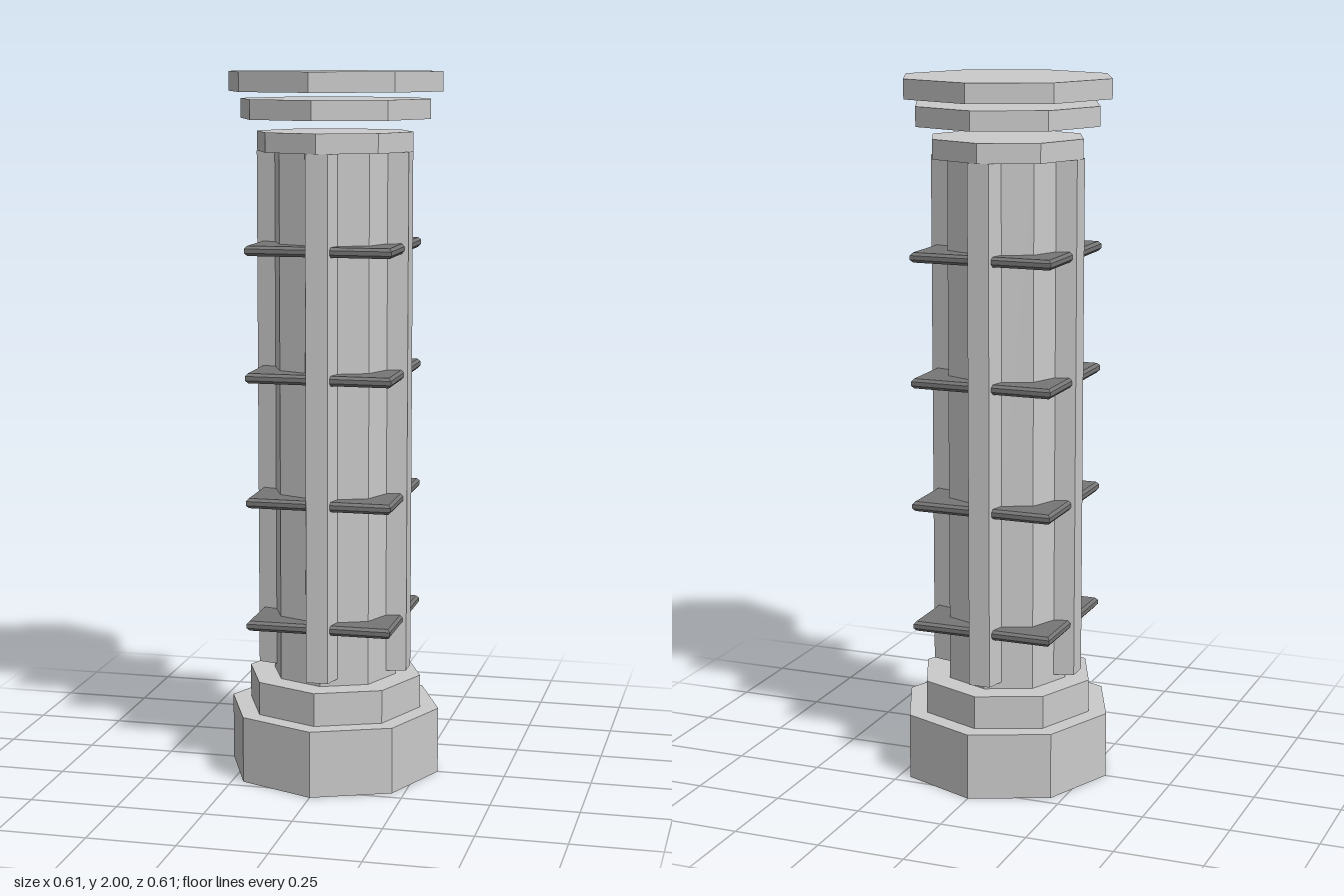
import * as THREE from 'three';

export function createModel() {
  const model = new THREE.Group();
  const stone = new THREE.MeshStandardMaterial({ color: 0xcccccc, flatShading: true });
  const dark = new THREE.MeshStandardMaterial({ color: 0x777777, flatShading: true });

  const add = (name, geometry, material = stone) => {
    const mesh = new THREE.Mesh(geometry, material);
    mesh.name = name;
    model.add(mesh);
    return mesh;
  };

  // Octagonal slab with corners on the axes
  const octagon = (name, radius, y0, y1) => {
    add(name, new THREE.CylinderGeometry(radius, radius, y1 - y0, 8)).position.y = (y0 + y1) / 2;
  };

  // Stepped base, shaft and separated capital slabs
  octagon('plinth', 0.306, 0, 0.19);
  octagon('baseStep', 0.252, 0.19, 0.285);
  octagon('shaft', 0.18, 0.285, 1.78);
  octagon('capitalLower', 0.224, 1.78, 1.835);
  octagon('capitalMiddle', 0.272, 1.87, 1.925);
  octagon('capitalTop', 0.306, 1.945, 2);

  // Tapered ribs on the four axis-facing corners of the shaft
  const section = new THREE.Shape([
    new THREE.Vector2(-0.046, -0.16),
    new THREE.Vector2(-0.031, -0.217),
    new THREE.Vector2(0.031, -0.217),
    new THREE.Vector2(0.046, -0.16),
  ]);
  const ribGeometry = new THREE.ExtrudeGeometry(section, { depth: 1.475, bevelEnabled: false });
  ribGeometry.rotateX(-Math.PI / 2);
  for (let i = 0; i < 4; i++) {
    const rib = add('rib', ribGeometry);
    rib.position.y = 0.305;
    rib.rotation.y = (i * Math.PI) / 2;
  }

  // Thin square plates with softened rims, their corners showing between the ribs
  const profile = [
    [0, -0.014], [0.282, -0.014], [0.292, -0.006],
    [0.292, 0.006], [0.282, 0.014], [0, 0.014],
  ].map(([r, y]) => new THREE.Vector2(r, y));
  const plateGeometry = new THREE.LatheGeometry(profile, 4, Math.PI / 4);
  for (const y of [0.455, 0.808, 1.161, 1.514]) {
    add('bandPlate', plateGeometry, dark).position.y = y;
  }

  return model;
}
